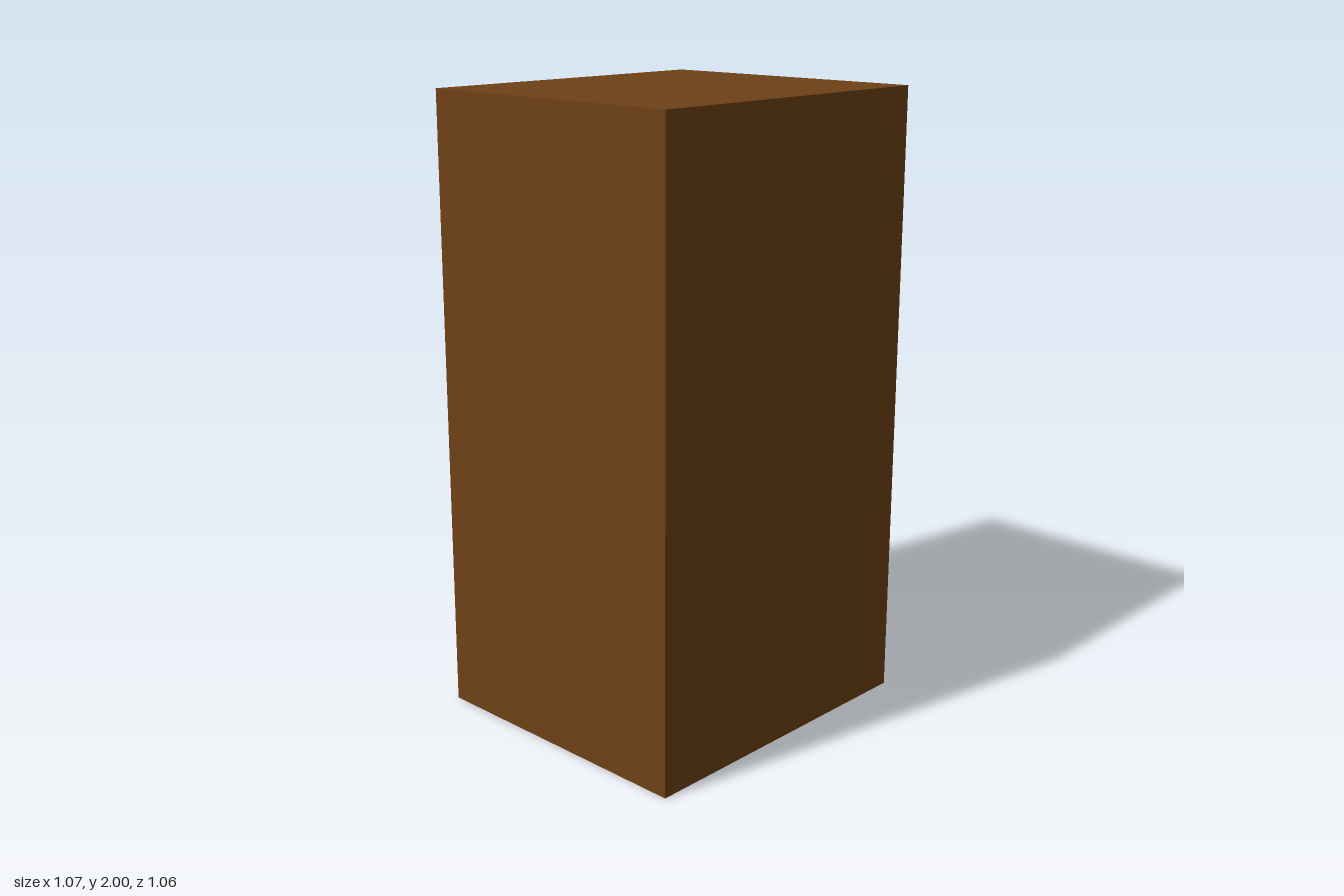
import * as THREE from 'three';

const WIDTH = 1.074, HEIGHT = 2, BACK = -0.424, FRONT = 0.53;

// D-shaped outline: straight at u0, rounded on the outer side at u1
function dOutline(path, u0, u1, y0, y1, ru, ry) {
  path.moveTo(u0, y0);
  path.lineTo(u1 - ru, y0);
  path.absellipse(u1 - ru, y0 + ry, ru, ry, -Math.PI / 2, 0, false);
  path.lineTo(u1, y1 - ry);
  path.absellipse(u1 - ru, y1 - ry, ru, ry, 0, Math.PI / 2, false);
  path.lineTo(u0, y1);
  path.closePath();
  return path;
}

export function createModel() {
  const group = new THREE.Group();
  const add = (name, geometry, color, x, y, z) => {
    const mesh = new THREE.Mesh(geometry, new THREE.MeshStandardMaterial({ color }));
    mesh.name = name;
    mesh.position.set(x, y, z);
    group.add(mesh);
  };

  // Wooden cabinet
  add('cabinet', new THREE.BoxGeometry(WIDTH, HEIGHT, FRONT - BACK), 0x6e4117,
    0, HEIGHT / 2, (FRONT + BACK) / 2);

  // Door panel, nearly flush with the wooden border
  add('doorPanel', new THREE.BoxGeometry(0.884, 1.806, 0.02), 0xcccccc, 0, 1, BACK + 0.008);

  // Pull handle: a closed loop with a mounting strip against the door
  const profile = dOutline(new THREE.Shape(), 0, 0.106, 0.9, 1.324, 0.065, 0.09);
  profile.holes.push(dOutline(new THREE.Path(), 0.02, 0.086, 0.926, 1.298, 0.048, 0.07));
  const handle = new THREE.ExtrudeGeometry(profile, { depth: 0.06, bevelEnabled: false, curveSegments: 8 });
  handle.rotateY(Math.PI / 2);
  add('handle', handle, 0x111111, 0.334, 0, BACK);

  return group;
}
